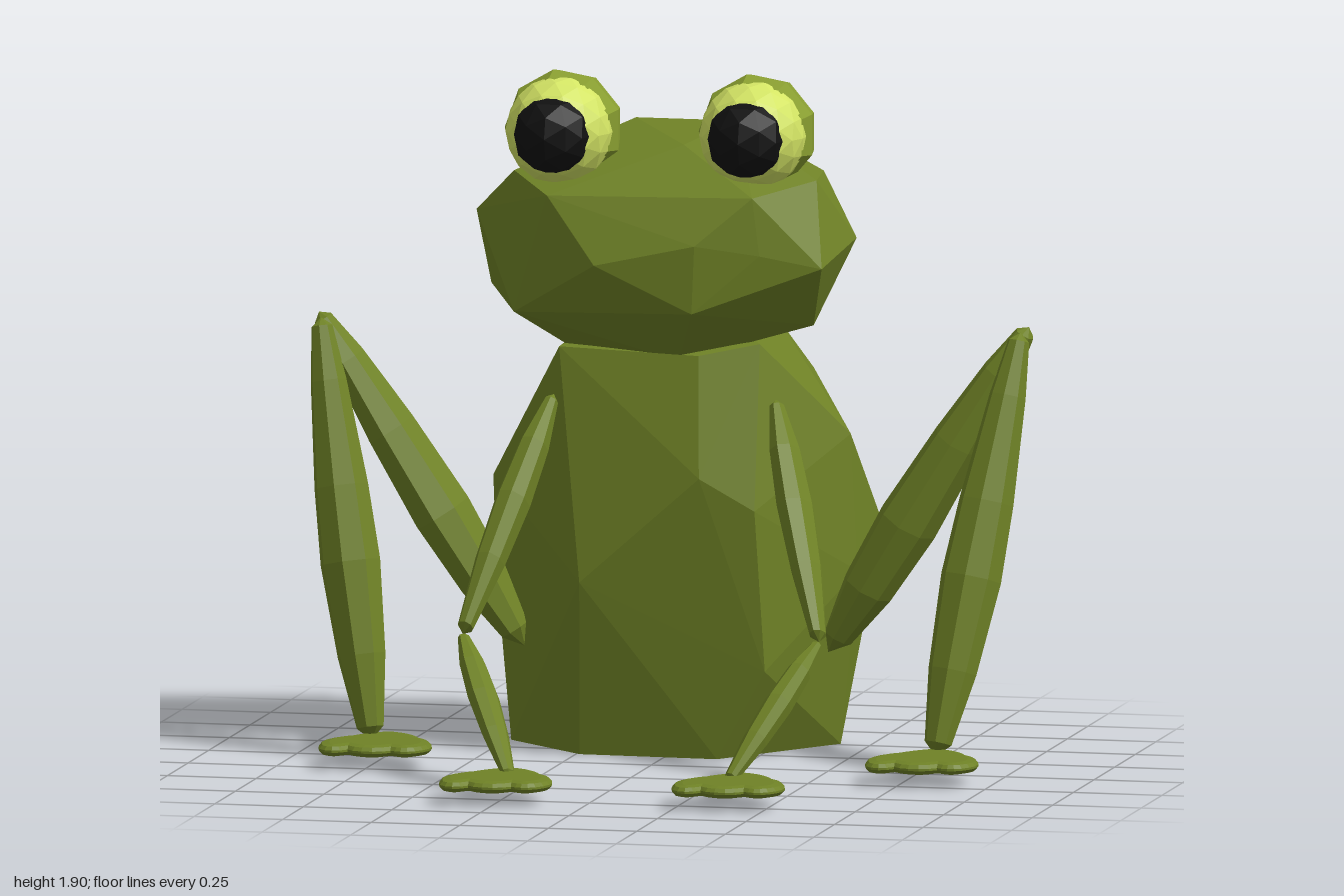
import * as THREE from 'three';
import { ConvexGeometry } from 'three/addons/geometries/ConvexGeometry.js';

const mat = (color, side = THREE.FrontSide) =>
  new THREE.MeshStandardMaterial({ color, flatShading: true, side });
const skin = mat(0x6f8226);
const lidSkin = mat(0x889d30, THREE.DoubleSide);
const eyeYellow = mat(0xd3e464);
const black = mat(0x111111);

const V = (p) => new THREE.Vector3(...p);

function add(parent, name, geometry, material) {
  const mesh = new THREE.Mesh(geometry, material);
  mesh.name = name;
  parent.add(mesh);
  return mesh;
}

// Faceted solid around a handful of corner points
const hull = (points) => new ConvexGeometry(points.map(V));

// Tapered muscle from a to b; rx is the half width sideways, rz along the depth
function limb(parent, name, a, b, rx, rz, profile) {
  const from = V(a), to = V(b);
  const dir = to.clone().sub(from);
  const length = dir.length();
  dir.normalize();
  const pts = profile.map(([r, t]) => new THREE.Vector2(r, t * length));
  const mesh = add(parent, name, new THREE.LatheGeometry(pts, 8), skin);
  const z = new THREE.Vector3(0, 0, 1).addScaledVector(dir, -dir.z).normalize();
  const x = new THREE.Vector3().crossVectors(dir, z);
  mesh.quaternion.setFromRotationMatrix(new THREE.Matrix4().makeBasis(x, dir, z));
  mesh.position.copy(from);
  mesh.scale.set(rx, 1, rz);
}

const thighProfile = [[0, 0], [0.5, 0.05], [0.85, 0.2], [1, 0.4], [0.85, 0.65], [0.6, 0.86], [0.32, 0.98], [0, 1]];
const shinProfile = [[0, 0], [0.35, 0.02], [0.6, 0.15], [0.9, 0.4], [1, 0.58], [0.8, 0.8], [0.45, 0.97], [0, 1]];
const armProfile = [[0, 0], [0.4, 0.03], [0.85, 0.22], [1, 0.45], [0.85, 0.7], [0.45, 0.97], [0, 1]];

// Webbed foot with three rounded toes, thin at the rim
function footGeometry() {
  const s = new THREE.Shape();
  s.moveTo(-0.04, 0.15);
  s.quadraticCurveTo(0, 0.18, 0.04, 0.15);
  s.quadraticCurveTo(0.085, 0.11, 0.1, 0.07);
  s.bezierCurveTo(0.15, 0.03, 0.17, -0.06, 0.145, -0.1);
  s.bezierCurveTo(0.12, -0.155, 0.08, -0.15, 0.06, -0.13);
  s.bezierCurveTo(0.04, -0.175, -0.04, -0.175, -0.06, -0.135);
  s.bezierCurveTo(-0.08, -0.185, -0.14, -0.18, -0.15, -0.1);
  s.bezierCurveTo(-0.17, -0.04, -0.14, 0.04, -0.1, 0.07);
  s.quadraticCurveTo(-0.085, 0.11, -0.04, 0.15);
  return new THREE.ExtrudeGeometry(s, {
    depth: 0.006, curveSegments: 5, bevelSegments: 2,
    bevelThickness: 0.014, bevelSize: 0.03, bevelOffset: -0.03,
  }).rotateX(-Math.PI / 2).translate(0, -0.003, 0);
}

function eye(parent, name, x, y, z) {
  const group = new THREE.Group();
  group.name = name;
  group.position.set(x, y, z);
  parent.add(group);
  // Lid shell open to the front
  const lid = new THREE.SphereGeometry(0.165, 9, 5, 0, Math.PI * 2, 0, Math.PI * 0.64);
  add(group, 'eyelid', lid.rotateX(-Math.PI / 2), lidSkin);
  add(group, 'eyeball', new THREE.IcosahedronGeometry(0.15, 2), eyeYellow).position.z = 0.05;
  add(group, 'pupil', new THREE.IcosahedronGeometry(0.112, 1), black).position.z = 0.13;
}

export function createModel() {
  const frog = new THREE.Group();
  frog.name = 'frog';

  // Torso: flat base, wide middle, narrow neck
  add(frog, 'body', hull([
    [-0.47, 0.01, -0.32], [-0.36, 0, -0.7], [-0.02, 0, -0.81], [0.3, 0, -0.78],
    [0.43, 0.01, -0.45], [0.15, 0, -0.15], [-0.24, 0, -0.16],
    [0.29, 0.25, -0.13], [-0.52, 0.45, -0.36], [-0.22, 0.49, -0.07], [0.27, 0.7, -0.09],
    [0.49, 0.5, -0.4], [0.51, 0.6, -0.62], [0.3, 0.55, -0.83], [-0.05, 0.53, -0.91],
    [-0.35, 0.5, -0.8], [-0.55, 0.72, -0.56], [-0.53, 0.74, -0.36], [0.47, 0.88, -0.4],
    [0.12, 0.79, -0.06], [-0.3, 1.13, -0.17], [0.1, 1.12, -0.14], [0.26, 1.15, -0.2],
    [0.05, 1.15, -0.72], [-0.28, 1.05, -0.7], [0.3, 1.02, -0.68],
    [-0.04, 1.25, -0.54], [-0.25, 1.18, -0.5], [0.24, 1.19, -0.48],
  ]), skin);

  // Broad wedge-shaped head
  add(frog, 'head', hull([
    [-0.15, 1.39, 0.055], [0.12, 1.26, 0.03], [0.13, 1.45, 0.04], [0.3, 1.42, -0.02],
    [-0.54, 1.5, -0.2], [-0.42, 1.62, -0.14], [-0.3, 1.57, -0.02], [0.28, 1.58, -0.02],
    [0.42, 1.61, -0.2], [0.51, 1.44, -0.3], [0.46, 1.38, -0.09], [0.4, 1.2, -0.25],
    [0.04, 1.1, -0.17], [-0.28, 1.13, -0.2], [-0.51, 1.29, -0.25], [-0.4, 1.24, -0.05],
    [-0.12, 1.75, -0.33], [0.16, 1.75, -0.33], [0.12, 1.71, -0.45], [-0.2, 1.69, -0.46],
    [-0.42, 1.53, -0.51], [-0.52, 1.45, -0.38], [0.02, 1.6, -0.58], [0.02, 1.37, -0.63],
    [0.41, 1.42, -0.55], [0.38, 1.6, -0.46], [0.2, 1.25, -0.54], [-0.3, 1.24, -0.46],
    [0.05, 1.7, -0.18],
  ]), skin);

  eye(frog, 'rightEye', -0.29, 1.735, -0.185);
  eye(frog, 'leftEye', 0.25, 1.735, -0.215);

  // Limbs: joints differ slightly from side to side
  const limbs = [
    { side: 'left', hip: [0.42, 0.28, -0.34], knee: [0.985, 1.2, -0.35], ankle: [0.8, 0.05, -0.01],
      hindFoot: [0.805, 0.052, 0.12], shoulder: [0.31, 1.0, -0.18], elbow: [0.525, 0.39, 0.22],
      wrist: [0.36, 0.05, 0.62], frontFoot: [0.39, 0.052, 0.685] },
    { side: 'right', hip: [-0.42, 0.28, -0.27], knee: [-0.985, 1.2, -0.2], ankle: [-0.78, 0.05, 0.04],
      hindFoot: [-0.735, 0.052, 0.135], shoulder: [-0.31, 1.0, -0.15], elbow: [-0.465, 0.39, 0.29],
      wrist: [-0.245, 0.05, 0.67], frontFoot: [-0.255, 0.052, 0.735] },
  ];
  const foot = footGeometry();
  for (const l of limbs) {
    const knee = [l.knee[0] * 0.985, l.knee[1] - 0.01, l.knee[2] + 0.04];
    limb(frog, l.side + 'Thigh', l.hip, l.knee, 0.085, 0.125, thighProfile);
    limb(frog, l.side + 'Shin', knee, l.ankle, 0.085, 0.09, shinProfile);
    limb(frog, l.side + 'UpperArm', l.shoulder, l.elbow, 0.05, 0.075, armProfile);
    limb(frog, l.side + 'Forearm', l.elbow, l.wrist, 0.04, 0.055, armProfile);
    add(frog, l.side + 'HindFoot', foot, skin).position.set(...l.hindFoot);
    add(frog, l.side + 'FrontFoot', foot, skin).position.set(...l.frontFoot);
  }
  return frog;
}
